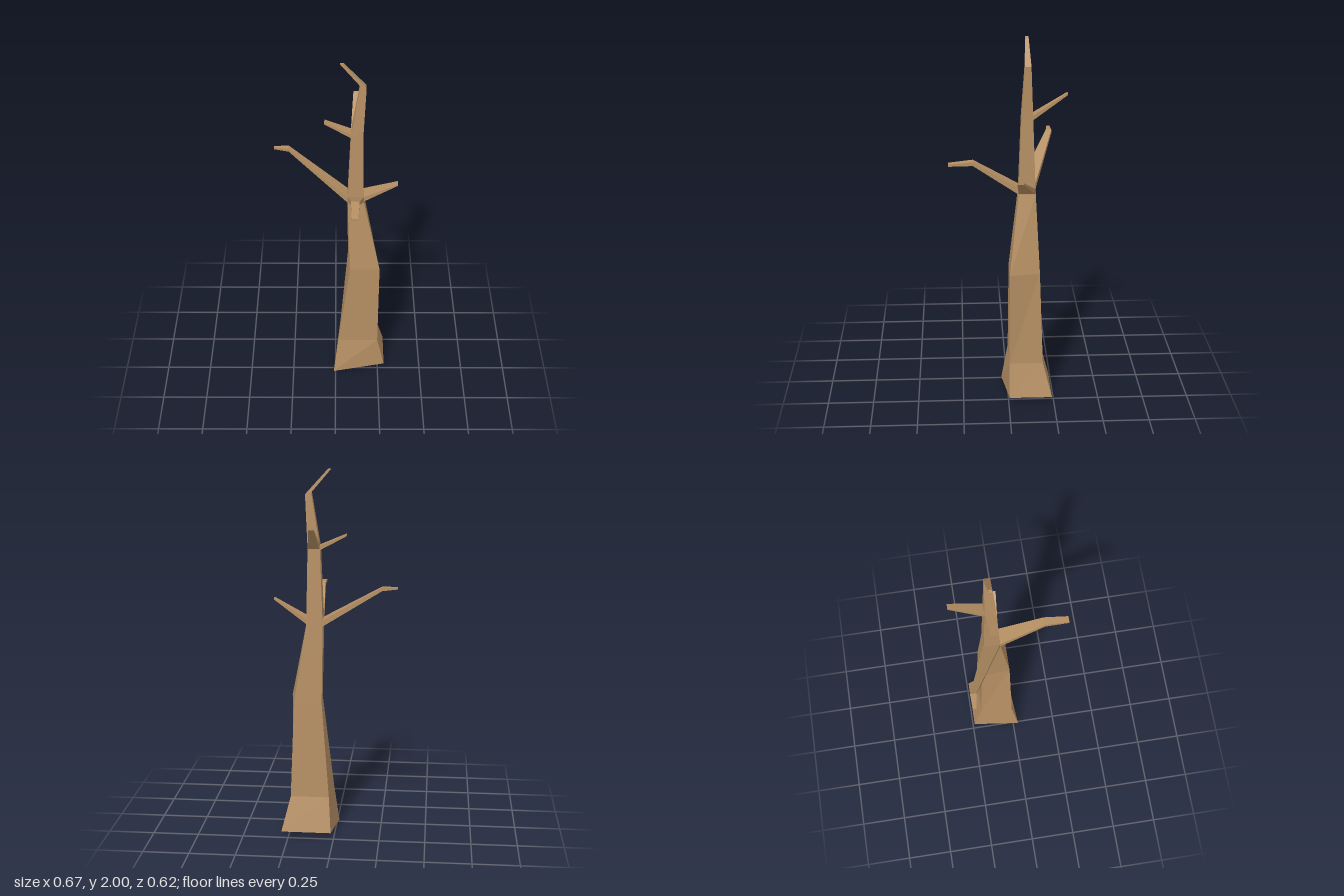
import * as THREE from 'three';

const bark = new THREE.MeshStandardMaterial({ color: 0xb58f63, flatShading: true });

// Skins a run of four-cornered rings, capped at both ends.
// Corners run counter-clockwise when looking back from the tip.
function loft(name, rings) {
  const pos = [];
  const quad = (a, b, c, d) => pos.push(...a, ...b, ...c, ...a, ...c, ...d);
  for (let i = 0; i < rings.length - 1; i++) {
    const lo = rings[i], hi = rings[i + 1];
    for (let k = 0; k < 4; k++) {
      const n = (k + 1) % 4;
      quad(lo[k], lo[n], hi[n], hi[k]);
    }
  }
  const [a, b, c, d] = rings[0];
  quad(d, c, b, a);
  quad(...rings[rings.length - 1]);
  const geo = new THREE.BufferGeometry();
  geo.setAttribute('position', new THREE.Float32BufferAttribute(pos, 3));
  geo.computeVertexNormals();
  const mesh = new THREE.Mesh(geo, bark);
  mesh.name = name;
  return mesh;
}

// Level trunk ring from its extents
const level = (y, x0, x1, z0, z1) => [[x0, y, z1], [x1, y, z1], [x1, y, z0], [x0, y, z0]];

// Branch growing along x or z; each section is [along, yLow, yHigh, sideMin, sideMax]
function branch(name, axis, sections) {
  const along = sections[sections.length - 1][0] - sections[0][0];
  const flip = axis === 'z' ? along < 0 : along > 0;
  const rings = sections.map(([t, y0, y1, s0, s1]) => {
    const [l, r] = flip ? [s1, s0] : [s0, s1];
    const p = (s, y) => (axis === 'z' ? [s, y, t] : [t, y, s]);
    return [p(l, y0), p(r, y0), p(r, y1), p(l, y1)];
  });
  return loft(name, rings);
}

export function createModel() {
  const tree = new THREE.Group();
  tree.name = 'bareTree';

  // Trunk: slanted flared foot, bent shaft and hooked tip
  tree.add(loft('trunk', [
    [[-0.01, 0, 0.03], [0.288, 0.03, -0.005], [0.288, 0.03, -0.24], [0.016, 0.03, -0.24]],
    [[0.017, 0.22, -0.005], [0.245, 0.22, -0.005], [0.24, 0.22, -0.19], [0.03, 0.22, -0.19]],
    [[0.08, 0.75, -0.007], [0.247, 0.75, -0.007], [0.22, 0.75, -0.17], [0.07, 0.75, -0.167]],
    level(1.18, 0.065, 0.153, -0.148, -0.057),
    level(1.59, 0.08, 0.145, -0.132, -0.07),
    [[0.125, 1.88, -0.086], [0.158, 1.87, -0.086], [0.158, 1.87, -0.12], [0.125, 1.88, -0.12]],
    [[0.023, 2, -0.094], [0.04, 2, -0.094], [0.04, 2, -0.111], [0.023, 2, -0.111]],
  ]));

  // Lower branches
  tree.add(branch('frontBranch', 'z', [
    [-0.065, 1.175, 1.21, 0.065, 0.155],
    [0.183, 1.333, 1.354, 0.08, 0.125],
    [0.313, 1.328, 1.34, 0.083, 0.117],
  ]));
  const rightBranch = branch('rightBranch', 'x', [
    [0.07, 1.17, 1.205, -0.15, -0.057],
    [-0.255, 1.393, 1.412, -0.26, -0.228],
    [-0.335, 1.402, 1.412, -0.255, -0.238],
  ]);
  tree.add(rightBranch);
  tree.add(branch('leftBranch', 'x', [
    [0.145, 1.178, 1.208, -0.147, -0.058],
    [0.334, 1.298, 1.307, -0.074, -0.041],
  ]));

  // Upper twigs
  tree.add(branch('backTwig', 'z', [
    [-0.122, 1.578, 1.604, 0.08, 0.145],
    [-0.311, 1.71, 1.722, 0.094, 0.121],
  ]));
  tree.add(branch('rightTwig', 'x', [
    [0.088, 1.575, 1.6, -0.131, -0.071],
    [-0.059, 1.653, 1.663, -0.121, -0.086],
  ]));

  return tree;
}
